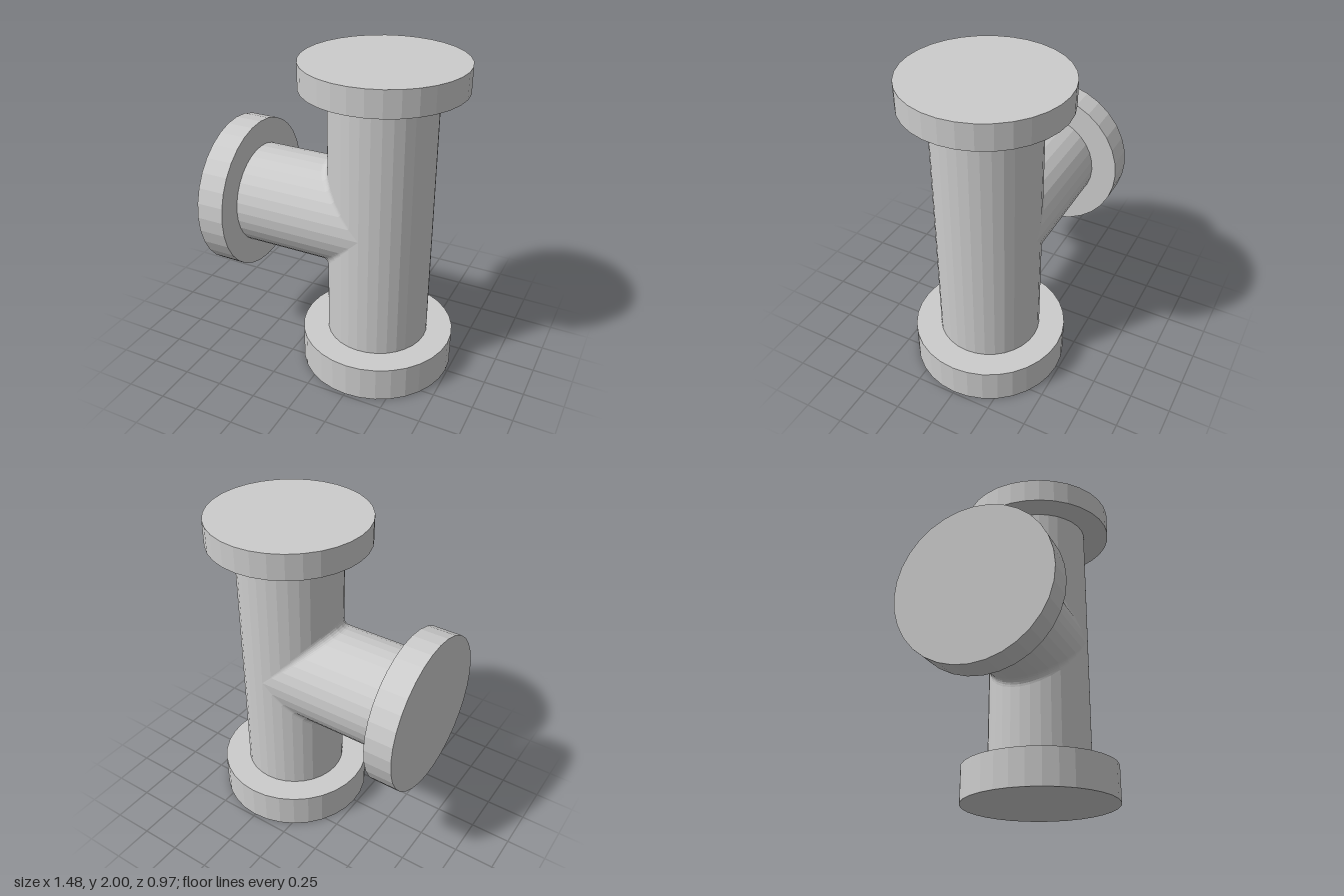
import * as THREE from 'three';

const SIDES = 32;
const R = 0.32;          // pipe radius
const FLANGE_R = 0.483;
const AXIS_X = 0.255;    // axis of the vertical pipe
const AXIS_Y = 1.008;    // axis of the side branch
const FILLET = 0.045;

const material = new THREE.MeshStandardMaterial({ color: 0xcccccc, flatShading: true });

function cylinder(name, radius, from, to) {
  const geometry = new THREE.CylinderGeometry(radius, radius, to - from, SIDES);
  geometry.translate(0, (from + to) / 2, 0);
  const mesh = new THREE.Mesh(geometry, material);
  mesh.name = name;
  return mesh;
}

// Side pipe whose inner end flares along a rolling-ball fillet into the vertical pipe
function branchGeometry(outerX, arcSteps = 5) {
  const positions = [], index = [];
  const rows = arcSteps + 2;
  for (let row = 0; row < rows; row++) {
    for (let i = 0; i <= SIDES; i++) {
      const a = (i / SIDES) * Math.PI * 2;
      const c = Math.abs(Math.cos(a)), s = Math.sin(a);
      const side = Math.cos(a) < 0 ? -1 : 1;
      if (row === 0) {
        positions.push(outerX, AXIS_Y + side * R * c, R * s);
        continue;
      }
      // Arc from the branch surface to the vertical pipe's surface
      const t = ((row - 1) / arcSteps) * Math.PI / 2;
      const dir = new THREE.Vector3(c * Math.sin(t), -c * Math.cos(t), -s * (Math.sin(t) + Math.cos(t)));
      dir.normalize().multiplyScalar(FILLET);
      const reach = R + FILLET;
      positions.push(
        AXIS_X - reach * c + dir.x,
        AXIS_Y + side * (reach * c + dir.y),
        reach * s + dir.z
      );
    }
  }
  const n = SIDES + 1;
  for (let row = 0; row < rows - 1; row++) {
    for (let i = 0; i < SIDES; i++) {
      const a = row * n + i, b = a + 1, c = a + n, d = c + 1;
      index.push(a, b, c, b, d, c);
    }
  }
  const geometry = new THREE.BufferGeometry();
  geometry.setAttribute('position', new THREE.Float32BufferAttribute(positions, 3));
  geometry.setIndex(index);
  geometry.computeVertexNormals();
  return geometry;
}

export function createModel() {
  const model = new THREE.Group();
  model.name = 'pipeTee';

  // Vertical run with a flange at each end
  const run = new THREE.Group();
  run.name = 'verticalRun';
  run.position.x = AXIS_X;
  run.add(
    cylinder('bottomFlange', FLANGE_R, 0, 0.225),
    cylinder('mainPipe', R, 0.225, 1.845),
    cylinder('topFlange', FLANGE_R, 1.845, 2)
  );
  model.add(run);

  // Side branch
  const branch = new THREE.Mesh(branchGeometry(-0.568), material);
  branch.name = 'branchPipe';
  model.add(branch);

  const branchFlange = cylinder('branchFlange', FLANGE_R, 0.568, 0.742);
  branchFlange.rotation.z = Math.PI / 2;
  branchFlange.position.y = AXIS_Y;
  model.add(branchFlange);

  return model;
}
